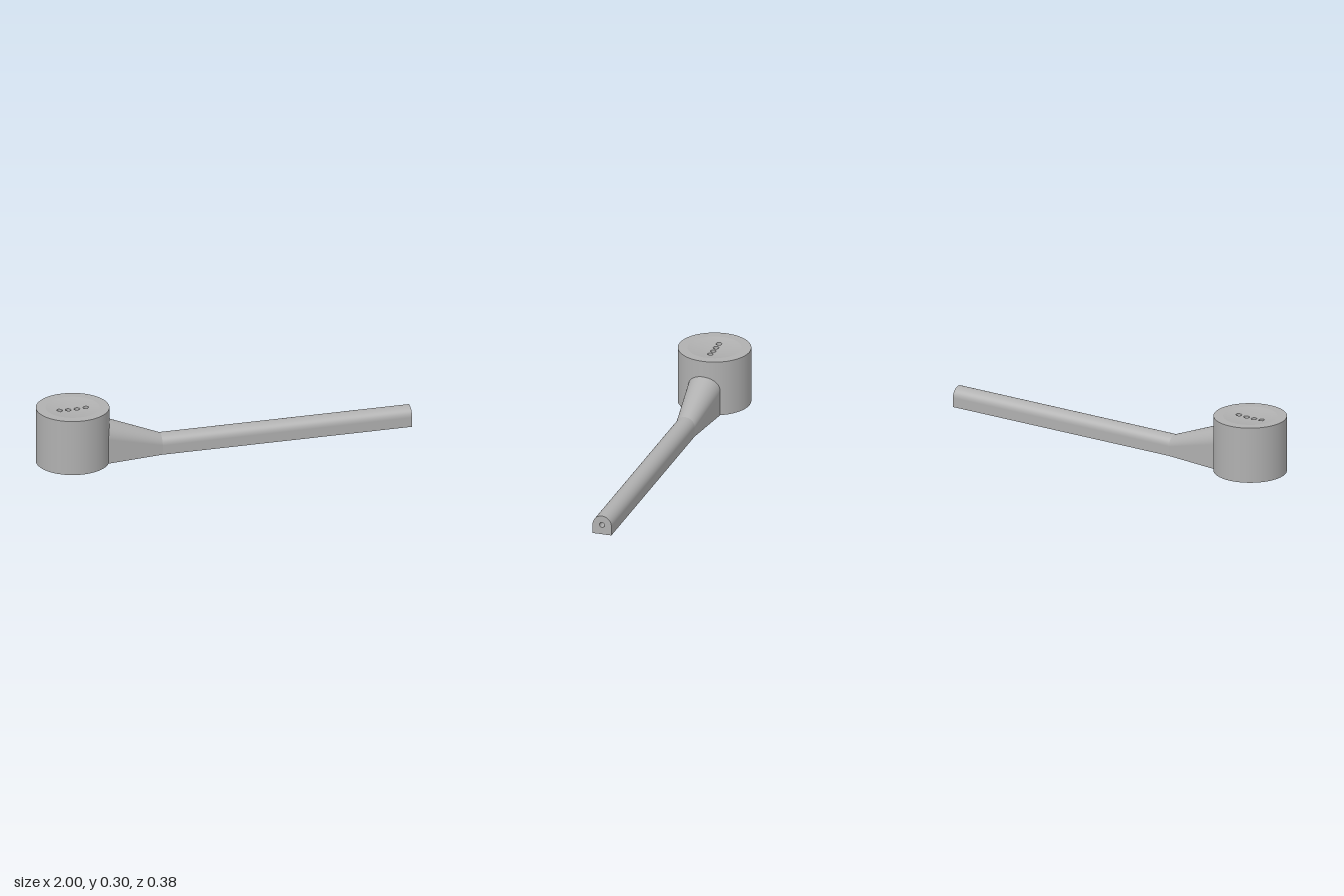
import * as THREE from 'three';
import { mergeGeometries } from 'three/addons/utils/BufferGeometryUtils.js';

const BOWL_X = -0.81, BOWL_R = 0.19, BOWL_H = 0.3;
const DISH_R = 0.14, DISH_DEPTH = 0.012, CORE_R = 0.11;
const SEG = 64;
const V = (x, y) => new THREE.Vector2(x, y);

// height of the shallow dish at a distance from the bowl axis
const dishY = (r) => BOWL_H - DISH_DEPTH * Math.max(0, 1 - (r / DISH_R) ** 2);

function circlePath(x, y, r) {
  return new THREE.Path().absarc(x, y, r, 0, Math.PI * 2, true);
}

function lathe(points, segments = SEG) {
  return new THREE.LatheGeometry(points, segments);
}

// inward-facing bore, mouth at the origin, running down -y to a conical end
function bore(r, depth, tip) {
  return mergeGeometries([
    lathe([V(r, 0), V(r, -depth)], 32),
    lathe([V(r, -depth), V(0, -depth - tip)], 32),
  ]);
}

// arch cross-section: straight sides under a half round, from +z over to -z
function arch(r, top) {
  const pts = [V(r, 0)];
  for (let i = 0; i <= 32; i++) {
    const a = (i / 32) * Math.PI;
    pts.push(V(r * Math.cos(a), top - r + r * Math.sin(a)));
  }
  pts.push(V(-r, 0));
  return pts;
}

// skin between two arches along x
function loft(x0, a, x1, b) {
  const pos = [], index = [], n = a.length;
  for (const [x, pts] of [[x0, a], [x1, b]]) for (const p of pts) pos.push(x, p.y, p.x);
  for (let j = 0; j < n - 1; j++) index.push(j, n + j, n + j + 1, j, n + j + 1, j + 1);
  const g = new THREE.BufferGeometry();
  g.setAttribute('position', new THREE.Float32BufferAttribute(pos, 3));
  g.setIndex(index);
  g.computeVertexNormals();
  return g;
}

export function createModel() {
  const grey = new THREE.MeshStandardMaterial({ color: 0xb0b0b0 });
  grey.name = 'grey';
  const model = new THREE.Group();
  const add = (parent, name, geometry) => {
    const mesh = new THREE.Mesh(geometry, grey);
    mesh.name = name;
    parent.add(mesh);
    return mesh;
  };

  // bowl
  const bowl = new THREE.Group();
  bowl.name = 'bowl';
  bowl.position.x = BOWL_X;
  model.add(bowl);
  add(bowl, 'bowlWall', lathe([V(BOWL_R, 0), V(BOWL_R, BOWL_H)]));
  add(bowl, 'bowlRim', lathe([V(BOWL_R, BOWL_H), V(DISH_R, BOWL_H)]));
  const slope = [];
  for (let i = 0; i <= 4; i++) {
    const r = DISH_R + (CORE_R - DISH_R) * i / 4;
    slope.push(V(r, dishY(r)));
  }
  add(bowl, 'dishEdge', lathe(slope));

  // dish centre, pierced by a row of four holes
  const holeXs = [-0.07, -0.0233, 0.0233, 0.07], holeR = 0.015;
  const core = new THREE.Shape().absarc(0, 0, CORE_R, 0, Math.PI * 2, false);
  for (const x of holeXs) core.holes.push(circlePath(x, 0, holeR));
  const floor = new THREE.ShapeGeometry(core, 32).rotateX(-Math.PI / 2);
  const p = floor.attributes.position, normal = new THREE.Vector3();
  const k = 2 * DISH_DEPTH / DISH_R ** 2;
  for (let i = 0; i < p.count; i++) {
    const x = p.getX(i), z = p.getZ(i);
    p.setY(i, dishY(Math.hypot(x, z)));
    normal.set(-k * x, 1, -k * z).normalize();
    floor.attributes.normal.setXYZ(i, normal.x, normal.y, normal.z);
  }
  add(bowl, 'dishFloor', floor);
  for (const x of holeXs) {
    const g = bore(holeR, 0.05, 0).translate(x, BOWL_H, 0);
    const q = g.attributes.position;
    // mouth follows the dish
    for (let i = 0; i < q.count; i++) {
      if (q.getY(i) > BOWL_H - 0.001) q.setY(i, dishY(Math.hypot(q.getX(i), q.getZ(i))));
    }
    add(bowl, 'dishHole', g);
  }

  // underside with central bore
  const base = new THREE.Shape().absarc(0, 0, BOWL_R, 0, Math.PI * 2, false);
  base.holes.push(circlePath(0, 0, 0.041));
  add(bowl, 'bowlBase', new THREE.ShapeGeometry(base, 32).rotateX(Math.PI / 2));
  add(bowl, 'baseBore', bore(0.041, 0.08, 0.025).rotateX(Math.PI));

  // handle: flared neck and straight shank
  const handle = new THREE.Group();
  handle.name = 'handle';
  model.add(handle);
  const neckX = -0.66, bendX = -0.34, neckR = 0.09, shankR = 0.051, shankTop = 0.102;
  const slim = arch(shankR, shankTop);
  add(handle, 'neck', loft(neckX, arch(neckR, 0.228), bendX, slim));
  add(handle, 'shank', loft(bendX, slim, 1, slim));
  const sole = new THREE.Shape([
    V(neckX, -neckR), V(bendX, -shankR), V(1, -shankR),
    V(1, shankR), V(bendX, shankR), V(neckX, neckR),
  ]);
  add(handle, 'handleSole', new THREE.ShapeGeometry(sole).rotateX(Math.PI / 2));

  // end face with its bore
  const end = new THREE.Shape(slim);
  end.holes.push(circlePath(0, 0.052, 0.0135));
  add(handle, 'handleEnd', new THREE.ShapeGeometry(end, 16).rotateY(Math.PI / 2).translate(1, 0, 0));
  add(handle, 'endBore', bore(0.0135, 0.1, 0.012).rotateZ(-Math.PI / 2).translate(1, 0.052, 0));

  return model;
}
